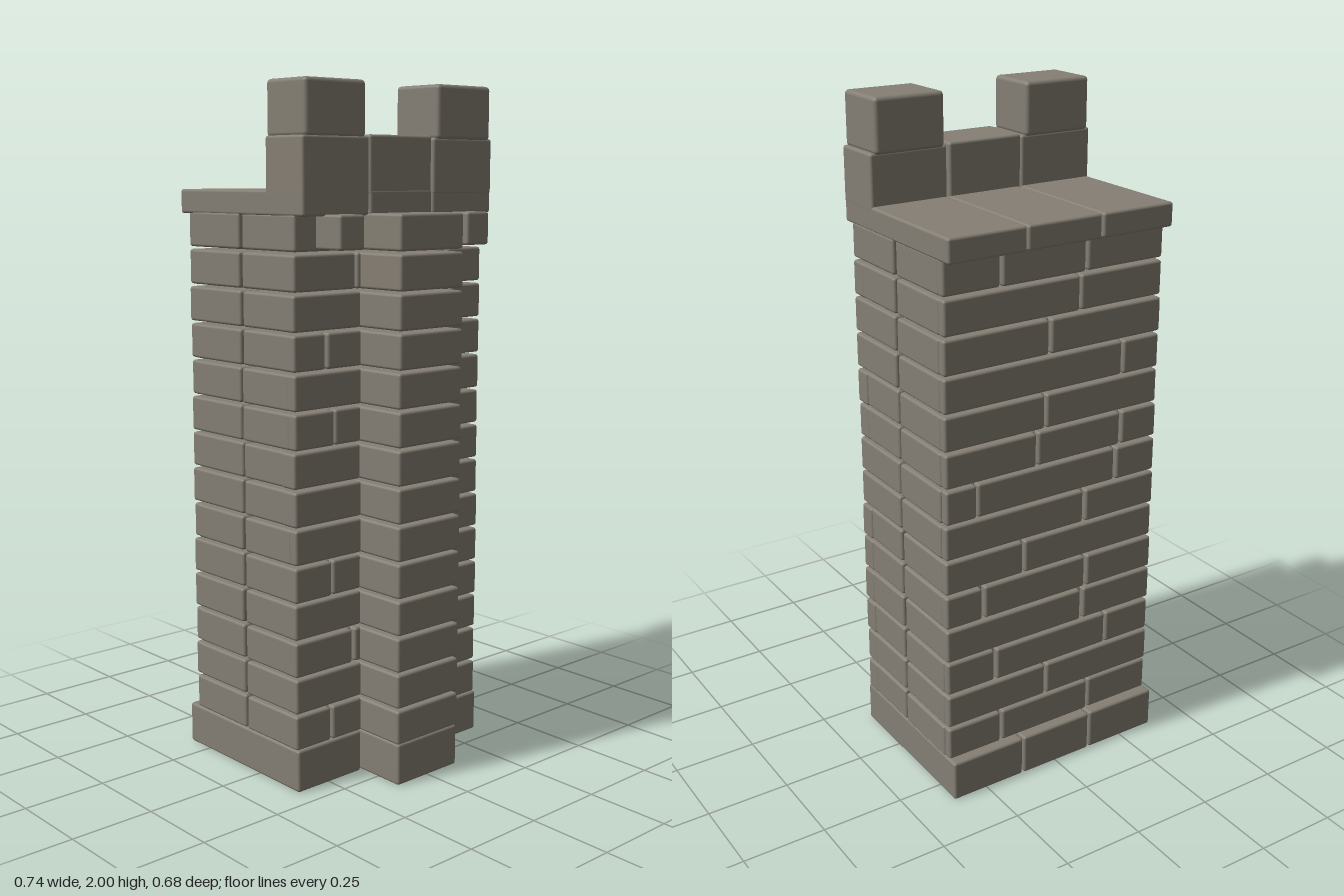
import * as THREE from 'three';
import { RoundedBoxGeometry } from 'three/addons/geometries/RoundedBoxGeometry.js';

export function createModel() {
  const tower = new THREE.Group();
  tower.name = 'brickTower';
  const stone = new THREE.MeshStandardMaterial({ color: 0x857f74 });
  stone.name = 'warmGreyStone';

  // Small seeded wobble so the stones look hand cut
  let seed = 7;
  const wobble = (a) => {
    seed = (seed * 16807) % 2147483647;
    return (seed / 2147483647 - 0.5) * 2 * a;
  };

  // One stone given by its limits on each axis
  function block(name, x0, x1, y0, y1, z0, z1, jitter = 0.002, radius = 0.008) {
    const geo = new RoundedBoxGeometry(x1 - x0, y1 - y0, z1 - z0, 2, radius);
    const mesh = new THREE.Mesh(geo, stone);
    mesh.name = name;
    mesh.position.set((x0 + x1) / 2 + wobble(jitter), (y0 + y1) / 2, (z0 + z1) / 2 + wobble(jitter));
    mesh.rotation.y = wobble(jitter);
    tower.add(mesh);
  }

  // A run of stones between x0 and x1, split at the given joints
  function run(name, x0, x1, joints, y0, y1, z0, z1) {
    const cuts = [x0, ...joints, x1];
    for (let i = 0; i + 1 < cuts.length; i++) {
      const a = cuts[i] + (i > 0 ? 0.004 : 0);
      const b = cuts[i + 1] - (i + 2 < cuts.length ? 0.004 : 0);
      block(name, a, b, y0, y1, z0, z1);
    }
  }

  // Three wide stones side by side
  const columns = [[-0.367, -0.127], [-0.122, 0.118], [0.123, 0.365]];

  // Base course with the projecting pier foot
  columns.forEach(([a, b], i) =>
    block('baseStone', a, b, 0, 0.125, -0.34, i === 1 ? 0.34 : 0.185, 0.001));

  // Brick courses: extra joints on the front left, front right and back
  const frontLeft = { 0: -0.235, 2: -0.15, 4: -0.23, 8: -0.22, 10: -0.25, 12: -0.14 };
  const frontRight = { 1: 0.195, 2: 0.185, 5: 0.255, 6: 0.21, 7: 0.25, 11: 0.235, 12: 0.22 };
  const backJoints = [
    [-0.14, 0.18], [0.02], [-0.2, 0.2], [-0.11], [-0.12, 0.24], [0.1], [-0.11],
    [-0.22, 0.26], [-0.235, 0.06], [0.03], [-0.235], [0.02], [-0.08], [-0.1, 0.18],
  ];
  for (let r = 0; r < 14; r++) {
    const y0 = 0.123 + r * 0.109;
    const y1 = y0 + 0.101;
    // Front half of the wall, behind its face
    block('sideBrick', -0.366, 0.364, y0, y1, -0.055, 0.155);
    // Front face bricks beside the pier
    run('frontBrick', -0.367, -0.12, r in frontLeft ? [frontLeft[r]] : [], y0, y1, 0.12, 0.178);
    run('frontBrick', 0.118, 0.365, r in frontRight ? [frontRight[r]] : [], y0, y1, 0.12, 0.178);
    // Projecting pier
    block('pierBrick', -0.124, 0.122, y0, y1, 0.13, 0.34, 0.001);
    // Back half of the wall
    block('sideBrick', -0.366, 0.364, y0, y1, -0.285, -0.063);
    run('backBrick', -0.364, 0.362, backJoints[r], y0, y1, -0.307, -0.24);
  }

  // Small corbels at the top of the front face
  block('corbel', -0.29, -0.2, 1.545, 1.64, 0.15, 0.28, 0.001);
  block('corbel', 0.2, 0.29, 1.545, 1.64, 0.15, 0.28, 0.001);

  // Capping slabs
  for (const [a, b] of columns) block('capSlab', a, b, 1.635, 1.705, -0.342, 0.215, 0.001);

  // Parapet stones and the two taller merlons
  columns.forEach(([a, b], i) =>
    block('parapetStone', a, b, 1.69, i === 1 ? 1.855 : 1.85, 0.055, 0.215, 0.001));
  block('merlon', -0.355, -0.137, 1.845, 2, 0.05, 0.217, 0.001, 0.012);
  block('merlon', 0.135, 0.353, 1.845, 2, 0.047, 0.222, 0.001, 0.012);

  return tower;
}
